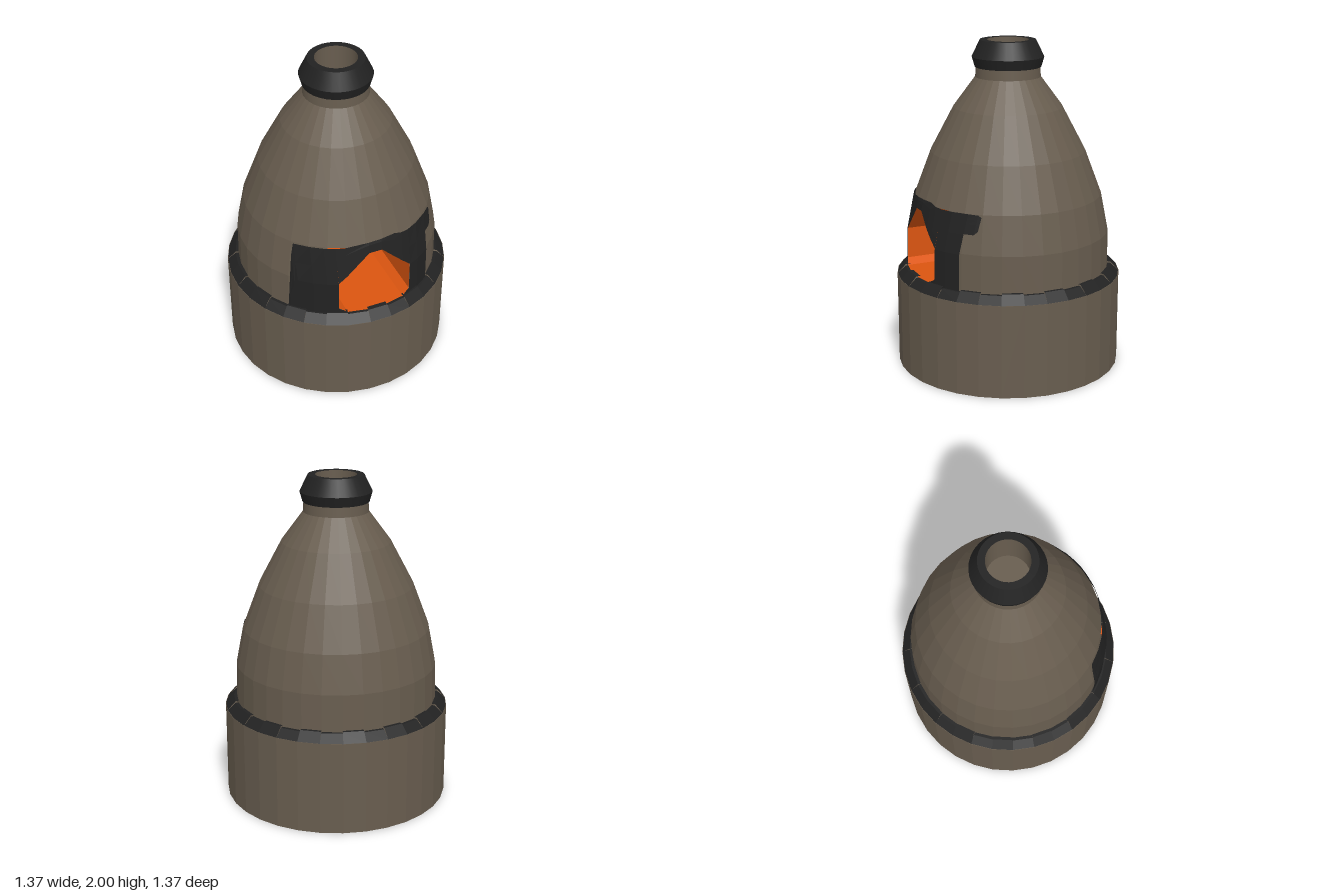
import * as THREE from 'three';

const SIDES = 32, STEP = (Math.PI * 2) / SIDES;
const clay = new THREE.MeshStandardMaterial({ color: 0x685d4f });
const soot = new THREE.MeshStandardMaterial({ color: 0x222222 });
const ember = new THREE.MeshStandardMaterial({ color: 0xdb5510 });

// Dome outline as [radius, height]
const DOME = [[0.62, 0.57], [0.615, 0.84], [0.57, 1.07], [0.47, 1.335], [0.33, 1.6], [0.197, 1.78]];

function domeRadius(y) {
  for (let i = 1; i < DOME.length; i++) {
    const [r0, y0] = DOME[i - 1], [r1, y1] = DOME[i];
    if (y <= y1) return r0 + ((r1 - r0) * (y - y0)) / (y1 - y0);
  }
  return 0.197;
}

// Point on the front of the dome above a given x and y
function onDome(x, y, lift = 0) {
  const r = domeRadius(y) + lift;
  return [x, y, Math.sqrt(r * r - x * x)];
}

function flat(geometry) {
  const g = geometry.toNonIndexed();
  g.computeVertexNormals();
  return g;
}

function lathe(points, segments = SIDES, start = STEP / 2, length = Math.PI * 2) {
  return new THREE.LatheGeometry(points.map(([r, y]) => new THREE.Vector2(r, y)), segments, start, length);
}

function fromQuads(quads) {
  const pos = [];
  for (const [a, b, c, d] of quads) pos.push(...a, ...b, ...c, ...a, ...c, ...d);
  const g = new THREE.BufferGeometry();
  g.setAttribute('position', new THREE.Float32BufferAttribute(pos, 3));
  g.computeVertexNormals();
  return g;
}

// Curved plate on the dome, spanning columns of [x, low, high]
function platePatch(columns, rows = 4) {
  const quads = [];
  const at = ([x, lo, hi], t) => onDome(x, lo + (hi - lo) * t, 0.007);
  for (let i = 1; i < columns.length; i++) {
    for (let j = 0; j < rows; j++) {
      const t0 = j / rows, t1 = (j + 1) / rows, a = columns[i - 1], b = columns[i];
      quads.push([at(a, t0), at(b, t0), at(b, t1), at(a, t1)]);
    }
  }
  return quads;
}

export function createModel() {
  const model = new THREE.Group();
  const add = (name, geometry, material, parent = model) => {
    const mesh = new THREE.Mesh(geometry, material);
    mesh.name = name;
    parent.add(mesh);
    return mesh;
  };

  // Drum base
  add('base', flat(new THREE.CylinderGeometry(0.69, 0.69, 0.57, SIDES, 1, false, STEP / 2).translate(0, 0.285, 0)), clay);

  // Dome: lower bands leave a gap at the front for the doorway
  add('lowerDome', flat(lathe(DOME.slice(0, 3), SIDES - 5, STEP * 2.5, STEP * (SIDES - 5))), clay);
  add('upperDome', flat(lathe(DOME.slice(2))), clay);

  // Ledge of sloping bricks, slightly uneven in height
  const ledge = new THREE.Group();
  ledge.name = 'brickLedge';
  model.add(ledge);
  for (let i = 0; i < SIDES; i++) {
    const top = 0.614 + (i % 2) * 0.009;
    const profile = [[0.69, 0.568], [0.638, top], [0.61, top]];
    add('ledgeBrick', flat(lathe(profile, 1, STEP * (i + 0.5), STEP)), soot, ledge);
  }

  // Chimney neck, rim and flue
  add('chimneyNeck', lathe([[0.197, 1.78], [0.194, 1.845]]), clay);
  const rim = [[0.19, 1.84], [0.2, 1.84], [0.217, 1.9], [0.168, 2], [0.125, 2]];
  for (let i = 1; i < rim.length; i++) add('chimneyRim', lathe([rim[i - 1], rim[i]]), soot);
  add('flueWall', lathe([[0.125, 2], [0.125, 1.78]]), clay);
  add('flueFloor', new THREE.CircleGeometry(0.126, SIDES).rotateX(-Math.PI / 2).translate(0, 1.78, 0), clay);

  // Dark surround around the doorway, with a hooked end on one side
  add('doorSurround', fromQuads([
    ...platePatch([[-0.48, 0.6, 0.63], [-0.47, 0.6, 0.83], [-0.45, 0.6, 0.99], [-0.435, 0.6, 1.065],
      [-0.36, 0.6, 1.068], [-0.29, 0.6, 1.068], [-0.23, 0.6, 1.07]]),
    ...platePatch([[-0.23, 0.84, 1.07], [-0.18, 0.887, 1.072], [-0.04, 1.02, 1.085], [0.04, 1.02, 1.088],
      [0.13, 0.935, 1.09], [0.18, 0.887, 1.075], [0.23, 0.84, 1.07]]),
    ...platePatch([[0.23, 0.6, 1.07], [0.3, 0.6, 1.07], [0.385, 0.6, 1.07]]),
    ...platePatch([[0.385, 0.955, 1.07], [0.43, 0.955, 1.068], [0.444, 0.975, 1.055]]),
    ...platePatch([[-0.23, 0.6, 0.65], [-0.18, 0.6, 0.615]], 1),
    ...platePatch([[0.18, 0.6, 0.615], [0.23, 0.6, 0.65]], 1),
  ]), soot).material.side = THREE.DoubleSide;

  // Glowing chamber: doorway outline swept back into the dome
  const door = [[-0.23, 0.65], [-0.18, 0.617], [-0.065, 0.617], [0.065, 0.617], [0.18, 0.617],
    [0.23, 0.65], [0.23, 0.84], [0.04, 1.02], [-0.04, 1.02], [-0.23, 0.84]];
  const BACK = 0;
  const chamber = door.map(([x, y], i) => {
    const [u, v] = door[(i + 1) % door.length];
    return [onDome(x, y, 0.004), onDome(u, v, 0.004), [u, v, BACK], [x, y, BACK]];
  });
  add('fireChamber', fromQuads(chamber), ember);
  const backWall = new THREE.Shape(door.map(([x, y]) => new THREE.Vector2(x, y)));
  add('fireChamberBack', new THREE.ShapeGeometry(backWall).translate(0, 0, BACK), ember);

  return model;
}
